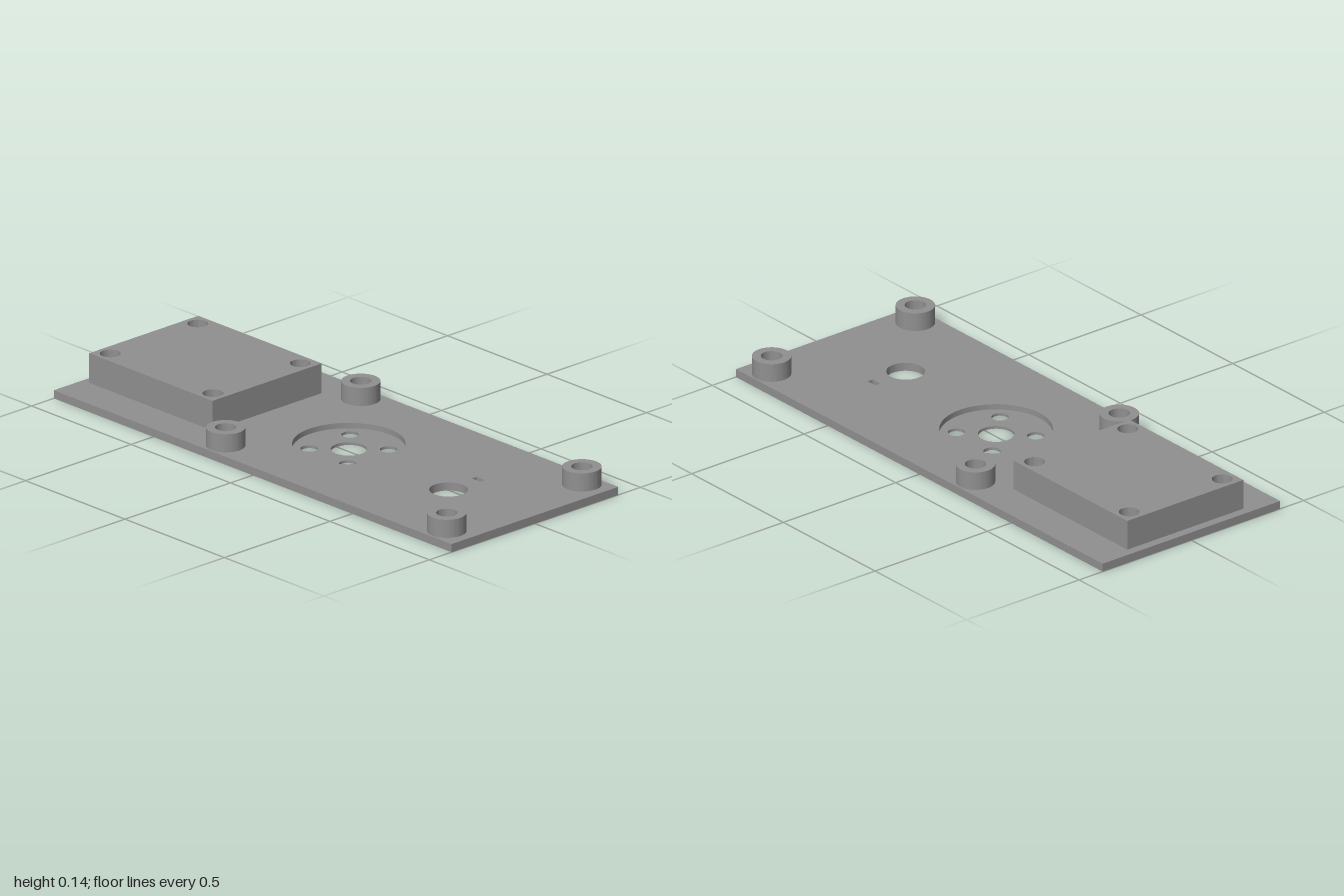
import * as THREE from 'three';
import { toCreasedNormals } from 'three/addons/utils/BufferGeometryUtils.js';

const PLATE_TOP = 0.03;
const POCKET_FLOOR = 0.01;

// Outlines are drawn in plan: shape x = model x, shape y = -model z.
function rect(Type, x, z, w, d) {
  const p = new Type();
  p.moveTo(x - w / 2, -z - d / 2);
  p.lineTo(x + w / 2, -z - d / 2);
  p.lineTo(x + w / 2, -z + d / 2);
  p.lineTo(x - w / 2, -z + d / 2);
  p.closePath();
  return p;
}

function circle(Type, x, z, r) {
  const p = new Type();
  p.absarc(x, -z, r, 0, Math.PI * 2, false);
  return p;
}

export function createModel() {
  const group = new THREE.Group();
  const grey = new THREE.MeshStandardMaterial({ color: 0x909090 });
  grey.name = 'plain grey';

  // Extrude a plan outline with holes from height y0 to y1
  function slab(name, outline, holes, y0, y1) {
    outline.holes.push(...holes);
    const geo = new THREE.ExtrudeGeometry(outline, { depth: y1 - y0, bevelEnabled: false, curveSegments: 32 });
    geo.rotateX(-Math.PI / 2);
    geo.translate(0, y0, 0);
    const mesh = new THREE.Mesh(toCreasedNormals(geo, 0.6), grey);
    mesh.name = name;
    group.add(mesh);
  }

  // Base plate: a thin floor with bolt holes, and an upper layer with the round pocket
  const hubX = 0.065;
  const sideHoles = () => [
    circle(THREE.Path, 0.617, 0.048, 0.067),
    rect(THREE.Path, 0.617, -0.093, 0.042, 0.022),
  ];
  const hubHoles = [circle(THREE.Path, hubX, 0, 0.063)];
  for (const sx of [-1, 1])
    for (const sz of [-1, 1])
      hubHoles.push(circle(THREE.Path, hubX + sx * 0.097, sz * 0.097, 0.03));

  slab('plateFloor', rect(THREE.Shape, 0, 0, 2, 0.79), [...sideHoles(), ...hubHoles], 0, POCKET_FLOOR);
  slab('plateTop', rect(THREE.Shape, 0, 0, 2, 0.79),
    [...sideHoles(), circle(THREE.Path, hubX, 0, 0.196)], POCKET_FLOOR, PLATE_TOP);

  // Raised block with four corner bores
  const bores = [];
  for (const x of [-0.915, -0.399])
    for (const z of [-0.207, 0.207]) bores.push(circle(THREE.Path, x, z, 0.036));
  slab('mountingBlock', rect(THREE.Shape, -0.657, 0, 0.62, 0.516), bores, PLATE_TOP, 0.14);

  // Four hollow standoffs
  for (const x of [-0.215, 0.897])
    for (const z of [-0.32, 0.32])
      slab('standoff', circle(THREE.Shape, x, z, 0.068), [circle(THREE.Path, x, z, 0.037)], PLATE_TOP, 0.097);

  return group;
}
